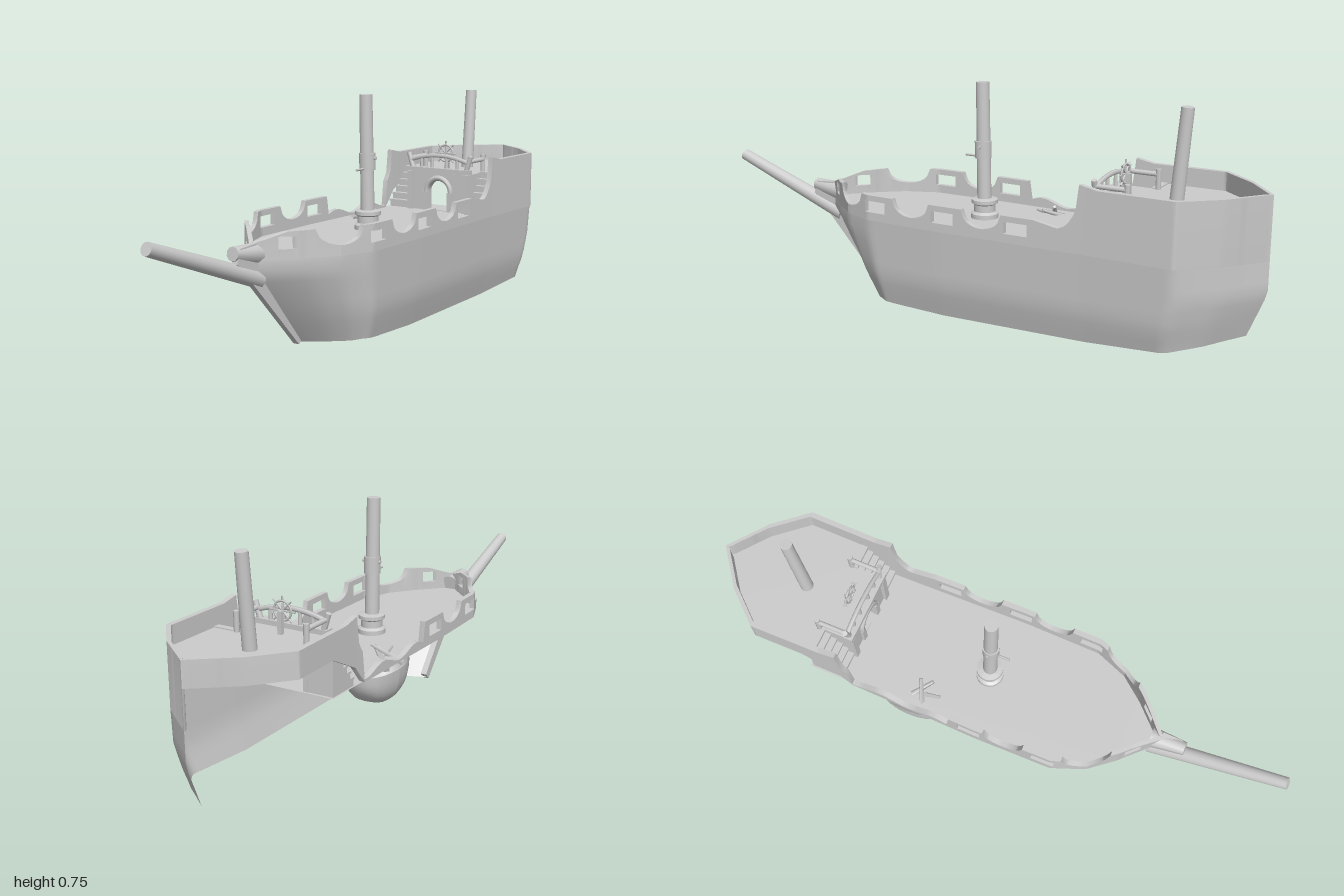
import * as THREE from 'three';
import { toCreasedNormals } from 'three/addons/utils/BufferGeometryUtils.js';

const mat = new THREE.MeshStandardMaterial({ color: 0xcccccc });
const openMat = new THREE.MeshStandardMaterial({ color: 0xcccccc, side: THREE.DoubleSide });
const V = (x, y, z) => new THREE.Vector3(x, y, z);
const DECK = 0.3, POOP = 0.44;

// piecewise linear curve through [t, value] pairs
function lerpAt(pts, t) {
  if (t <= pts[0][0]) return pts[0][1];
  for (let i = 1; i < pts.length; i++) {
    const [a, va] = pts[i - 1], [b, vb] = pts[i];
    if (t <= b) return va + (vb - va) * (t - a) / (b - a);
  }
  return pts[pts.length - 1][1];
}

// plan outline (z, half width) and the rules that shape the hull below the deck
const OUTLINE = [[-1, 0], [-0.9, 0.13], [-0.79, 0.225], [-0.5, 0.222], [0, 0.232], [0.27, 0.228], [0.38, 0.185], [0.46, 0.12], [0.58, 0]];
const halfWidth = z => lerpAt(OUTLINE, z);
function hullPoint(z, y) {
  const fx = lerpAt([[0, 0.8], [0.11, 0.94], [0.3, 1]], y);
  const bow = lerpAt([[0, 0.43], [0.26, 1]], y), stern = lerpAt([[0.05, 0.88], [0.2, 1]], y);
  let zz = z;
  if (z > 0.2) zz = 0.2 + (z - 0.2) * bow;
  if (z < -0.5) zz = -0.5 + (z + 0.5) * stern;
  return V(halfWidth(z) * fx, y, zz);
}

// bulwark top edge: gun ports between scallops, sweeping up to the poop
function railTop(z) {
  if (z <= -0.485) return lerpAt([[-0.55, 0.5], [-0.49, 0.512]], z);
  if (z < -0.42) return 0.37 + 0.06 * ((-0.42 - z) / 0.06) ** 2;
  let top = lerpAt([[-0.42, 0.37], [-0.34, 0.385], [0.44, 0.385], [0.5, 0.38], [0.54, 0.362], [0.58, 0.345]], z);
  for (const c of [0.37, 0.1, -0.16]) {
    const d = (z - c) / 0.07;
    if (Math.abs(d) < 1) top -= 0.053 * Math.sqrt(1 - d * d);
  }
  return top;
}
const PORTS = [[0.48, 0.53], [0.2, 0.28], [-0.06, 0.02], [-0.32, -0.24]];

// collects quads into one creased surface
function sheet() {
  const pos = [];
  const tri = (a, b, c) => {
    const area = b.clone().sub(a).cross(c.clone().sub(a)).length();
    if (area > 1e-9) for (const p of [a, b, c]) pos.push(p.x, p.y, p.z);
  };
  return {
    quad(a, b, c, d, flip) {
      if (flip) [b, d] = [d, b];
      tri(a, b, c); tri(a, c, d);
    },
    geometry() {
      const g = new THREE.BufferGeometry();
      g.setAttribute('position', new THREE.Float32BufferAttribute(pos, 3));
      return toCreasedNormals(g, 1);
    },
  };
}

// outer planking from the lower edge up to the deck
function hullSide() {
  const s = sheet(), n = 79, rows = 8;
  const low = z => lerpAt([[-1, 0.06], [-0.8, 0.03], [-0.5, 0.012], [0, 0.006], [0.3, 0.015], [0.58, 0.005]], z);
  const P = (i, j) => {
    const z = -1 + 1.58 * i / n, lo = low(z);
    return hullPoint(z, lo + (DECK - lo) * j / rows);
  };
  for (let i = 0; i < n; i++)
    for (let j = 0; j < rows; j++) s.quad(P(i + 1, j), P(i, j), P(i, j + 1), P(i + 1, j + 1));
  return s.geometry();
}

// thick wall above the deck, built column by column
function bulwark(side, low, top) {
  const s = sheet(), f = side < 0;
  for (let k = -100; k < 58; k++) {
    const za = k / 100, zb = (k + 1) / 100, mid = (za + zb) / 2;
    const port = PORTS.some(p => mid > p[0] && mid < p[1]) && top(mid) > 0.37;
    const spans = port ? [[low, () => 0.328], [() => 0.366, top]] : [[low, top]];
    for (const [lo, hi] of spans) {
      const c = (z, y, inner) => V(side * Math.max(halfWidth(z) - (inner ? 0.018 : 0), 0), y, z);
      const [a, b, d, e] = [c(zb, lo(zb)), c(za, lo(za)), c(za, hi(za)), c(zb, hi(zb))];
      const [A, B, D, E] = [c(zb, lo(zb), 1), c(za, lo(za), 1), c(za, hi(za), 1), c(zb, hi(zb), 1)];
      s.quad(a, b, d, e, f); s.quad(B, A, E, D, f);
      s.quad(e, d, D, E, f); s.quad(A, B, b, a, f);
      s.quad(b, B, D, d, f); s.quad(A, a, e, E, f);
    }
  }
  return s.geometry();
}

export function createModel() {
  const ship = new THREE.Group();
  ship.name = 'shipwreck';
  const add = (name, g, x = 0, y = 0, z = 0, m = mat) => {
    const mesh = new THREE.Mesh(g, m);
    mesh.name = name; mesh.position.set(x, y, z); ship.add(mesh);
    return mesh;
  };
  const box = (name, w, h, d, x, y, z) => add(name, new THREE.BoxGeometry(w, h, d), x, y, z);
  const rod = (name, a, b, r0, r1 = r0, seg = 16) => {
    const d = b.clone().sub(a), m = add(name, new THREE.CylinderGeometry(r1, r0, d.length(), seg));
    m.position.copy(a).addScaledVector(d, 0.5);
    m.quaternion.setFromUnitVectors(V(0, 1, 0), d.normalize());
    return m;
  };
  const floor = (name, pts, y) => add(name, new THREE.ShapeGeometry(
    new THREE.Shape(pts.map(([x, z]) => new THREE.Vector2(x, -z)))).rotateX(-Math.PI / 2), 0, y, 0, openMat);

  // the one remaining side of the hull, open to view from inside
  add('leftHull', hullSide(), 0, 0, 0, openMat);
  add('leftBulwark', bulwark(1, () => DECK, railTop));
  // torn side: only the wall above the deck is left
  const torn = z => (z > -0.46 && z < -0.09 ? 0.32 + 0.012 * Math.sin(z * 32) : railTop(z));
  add('tornBulwark', bulwark(-1, z => lerpAt([[-0.62, 0.42], [-0.5, 0.36], [-0.45, 0.3]], z), torn));

  // hanging, squarish chunk of planking under the breach
  const chunk = new THREE.SphereGeometry(1, 20, 8, 0, Math.PI * 2, Math.PI / 2, Math.PI / 2);
  const cp = chunk.attributes.position;
  const square = (v, p) => Math.sign(v) * Math.abs(v) ** p;
  for (let i = 0; i < cp.count; i++) {
    const x = square(cp.getX(i), 0.65), y = square(cp.getY(i), 0.9);
    cp.setXYZ(i, x * 0.08, y * 0.115, cp.getZ(i) * 0.13);
  }
  chunk.computeVertexNormals();
  add('hullChunk', chunk, -0.148, 0.278, -0.25, openMat);
  for (const [x0, z0, x1, z1, h] of [[-0.2, -0.28, -0.11, -0.2, 0.32], [-0.21, -0.2, -0.12, -0.24, 0.335], [-0.17, -0.31, -0.15, -0.16, 0.31]])
    rod('brokenPlank', V(x0, 0.28, z0), V(x1, h, z1), 0.012, 0.006, 4);

  // decks
  const edge = OUTLINE.map(([z, x]) => [x * 0.97, z * 0.99]);
  const mirror = pts => pts.concat(pts.slice().reverse().filter(p => p[0] > 0).map(([x, z]) => [-x, z]));
  floor('mainDeck', mirror([[0.216, -0.61], ...edge.slice(3)]), DECK);
  floor('poopDeck', mirror([...edge.slice(0, 3), [0.216, -0.6], [0.12, -0.6], [0.12, -0.49]]), POOP);

  // cabin front with an arched doorway
  const wall = new THREE.Shape([[-0.12, 0.3], [0.12, 0.3], [0.12, POOP], [-0.12, POOP]].map(p => new THREE.Vector2(...p)));
  const door = new THREE.Path();
  door.moveTo(-0.042, 0.302); door.lineTo(-0.042, 0.37);
  door.absarc(0, 0.37, 0.042, Math.PI, 0, true);
  door.lineTo(0.042, 0.302);
  wall.holes.push(door);
  add('cabinFront', new THREE.ExtrudeGeometry(wall, { depth: 0.02, bevelEnabled: false }), 0, 0, -0.51);
  add('doorArch', new THREE.TorusGeometry(0.051, 0.01, 6, 16, Math.PI), 0, 0.37, -0.488);
  box('cabinBeam', 0.26, 0.016, 0.03, 0, 0.45, -0.492);
  for (const s of [-1, 1]) {
    box('doorJamb', 0.02, 0.07, 0.016, s * 0.051, 0.335, -0.488);
    box('cabinCorner', 0.022, 0.14, 0.03, s * 0.115, 0.37, -0.492);
    box('cabinSide', 0.014, 0.14, 0.11, s * 0.116, 0.37, -0.548);
    // stairs beside the cabin
    for (let i = 0; i < 6; i++) {
      const h = 0.14 * (i + 1) / 6;
      box('step', 0.09, h, 0.018, s * 0.165, DECK + h / 2, -0.5 - i * 0.0185);
      box('tread', 0.092, 0.007, 0.022, s * 0.165, DECK + h, -0.498 - i * 0.0185);
    }
    // newel posts and balusters
    rod('newelPost', V(s * 0.108, 0.44, -0.495), V(s * 0.13, 0.508, -0.495), 0.01, 0.009, 8);
    rod('sideRail', V(s * 0.122, 0.488, -0.495), V(s * 0.122, 0.488, -0.6), 0.008, 0.008, 8);
    rod('sidePost', V(s * 0.122, 0.44, -0.6), V(s * 0.122, 0.505, -0.6), 0.009, 0.009, 8);
    for (const x of [0.03, 0.075]) rod('baluster', V(s * x, 0.45, -0.495), V(s * x, 0.502 - x * 0.15, -0.495), 0.007, 0.006, 8);
  }
  add('poopRail', new THREE.TubeGeometry(new THREE.QuadraticBezierCurve3(V(-0.12, 0.482, -0.495), V(0, 0.524, -0.495), V(0.12, 0.482, -0.495)), 16, 0.008, 6));

  // steering wheel
  add('wheelRim', new THREE.TorusGeometry(0.03, 0.004, 6, 20), 0, 0.508, -0.54);
  for (let i = 0; i < 4; i++) {
    const a = i * Math.PI / 4, dx = 0.045 * Math.cos(a), dy = 0.045 * Math.sin(a);
    rod('wheelSpoke', V(-dx, 0.508 - dy, -0.54), V(dx, 0.508 + dy, -0.54), 0.003, 0.003, 6);
  }
  box('wheelStand', 0.014, 0.07, 0.014, 0, 0.475, -0.552);

  // masts
  rod('mainMast', V(-0.005, 0.29, -0.04), V(-0.007, 0.75, -0.03), 0.024, 0.022);
  rod('mastBand', V(-0.004, 0.5, -0.035), V(-0.004, 0.557, -0.034), 0.027, 0.028);
  rod('mastPeg', V(-0.003, 0.505, -0.03), V(-0.003, 0.505, 0.03), 0.004, 0.004, 6);
  rod('mastCleat', V(-0.036, 0.54, -0.036), V(0.03, 0.54, -0.036), 0.006, 0.006, 6);
  const collar = [[0.046, 0], [0.046, 0.015], [0.036, 0.022], [0.036, 0.045], [0.044, 0.05], [0.044, 0.062], [0.022, 0.066]];
  add('mastCollar', toCreasedNormals(new THREE.LatheGeometry(collar.map(p => new THREE.Vector2(...p)), 20), 0.5), -0.005, DECK, -0.04);
  rod('mizzenMast', V(-0.003, 0.43, -0.706), V(-0.003, 0.73, -0.73), 0.022, 0.02);

  // bowsprit, its seat and the stem
  rod('bowsprit', V(0, 0.235, 0.54), V(-0.002, 0.4, 0.993), 0.028, 0.02);
  rod('bowspritSeat', V(0, 0.315, 0.54), V(0, 0.33, 0.655), 0.034, 0.022, 10);
  const stem = new THREE.Shape([[0.64, 0.345], [0.57, 0.35], [0.55, 0.26], [0.352, 0.02], [0.372, 0], [0.6, 0.245], [0.655, 0.3]].map(p => new THREE.Vector2(...p)));
  add('stem', new THREE.ExtrudeGeometry(stem, { depth: 0.022, bevelEnabled: false }).rotateY(-Math.PI / 2), 0.018, 0, 0);
  return ship;
}
